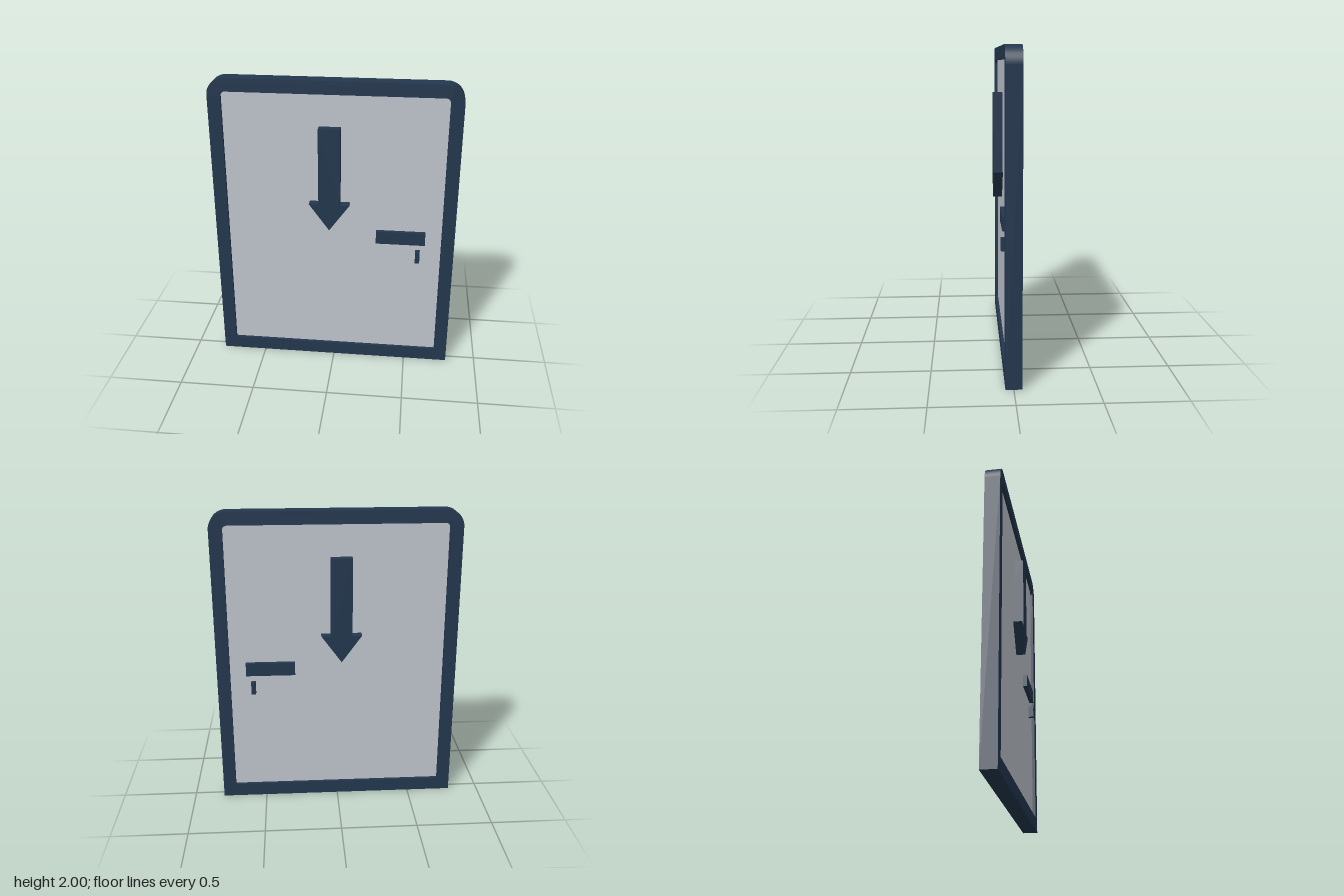
import * as THREE from 'three';

// Door outline: square bottom corners, rounded top corners
function doorOutline(target, halfWidth, bottom, top, radius) {
  target.moveTo(-halfWidth, bottom);
  target.lineTo(halfWidth, bottom);
  target.lineTo(halfWidth, top - radius);
  target.absarc(halfWidth - radius, top - radius, radius, 0, Math.PI / 2, false);
  target.lineTo(-halfWidth + radius, top);
  target.absarc(-halfWidth + radius, top - radius, radius, Math.PI / 2, Math.PI, false);
  target.lineTo(-halfWidth, bottom);
  return target;
}

// Extrude a shape symmetrically about z = 0
function slab(shape, depth) {
  const geometry = new THREE.ExtrudeGeometry(shape, { depth, bevelEnabled: false, curveSegments: 10 });
  geometry.translate(0, 0, -depth / 2);
  return geometry;
}

export function createModel() {
  const navy = new THREE.MeshStandardMaterial({ color: 0x23374e });
  navy.name = 'navy';
  const paleGrey = new THREE.MeshStandardMaterial({ color: 0xbfc5cd });
  paleGrey.name = 'pale grey';

  const door = new THREE.Group();
  door.name = 'door';
  const add = (name, geometry, material) => {
    const mesh = new THREE.Mesh(geometry, material);
    mesh.name = name;
    door.add(mesh);
    return mesh;
  };

  // Surrounding frame
  const frameShape = doorOutline(new THREE.Shape(), 0.798, 0, 2, 0.11);
  frameShape.holes.push(doorOutline(new THREE.Path(), 0.712, 0.09, 1.915, 0.03));
  add('frame', slab(frameShape, 0.1), navy);

  // Recessed panel, tucked slightly into the frame
  add('panel', slab(doorOutline(new THREE.Shape(), 0.72, 0.08, 1.922, 0.03), 0.06), paleGrey);

  // Downward arrow, standing proud of both faces
  const arrowShape = new THREE.Shape([
    [-0.097, 1.705], [-0.097, 1.193], [-0.16, 1.193], [-0.027, 1.01],
    [0.106, 1.193], [0.043, 1.193], [0.043, 1.705],
  ].map(([x, y]) => new THREE.Vector2(x, y)));
  add('arrow', slab(arrowShape, 0.18), navy);

  // Handle and the key piece below it, passing through the panel
  add('handle', new THREE.BoxGeometry(0.325, 0.088, 0.116), navy).position.set(0.443, 0.957, 0);
  add('keyPiece', new THREE.BoxGeometry(0.03, 0.082, 0.13), navy).position.set(0.56, 0.824, 0);

  return door;
}
